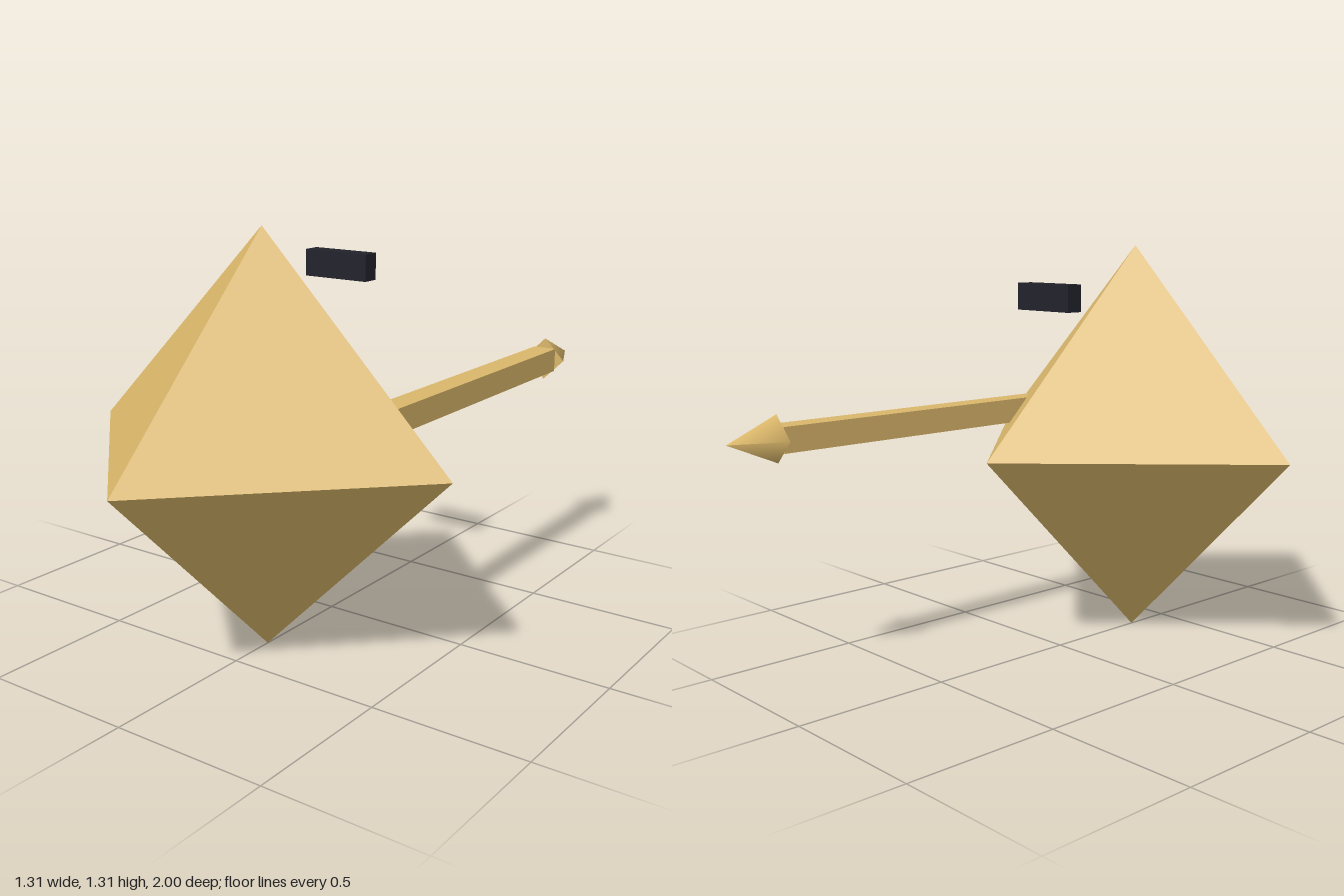
import * as THREE from 'three';

export function createModel() {
  const model = new THREE.Group();
  const gold = new THREE.MeshStandardMaterial({ color: 0xd9b66a });
  gold.name = 'gold';
  const black = new THREE.MeshStandardMaterial({ color: 0x22222c });
  black.name = 'black';

  function add(name, geometry, material, x, y, z) {
    const mesh = new THREE.Mesh(geometry, material);
    mesh.name = name;
    mesh.position.set(x, y, z);
    model.add(mesh);
    return mesh;
  }

  // Faceted body standing on its lower point
  add('body', new THREE.OctahedronGeometry(0.655), gold, 0, 0.655, 0.345);

  // Square rod running backwards out of the body's left side
  const rodFront = 0.25, rodBack = -0.832;
  add('rod', new THREE.BoxGeometry(0.08, 0.08, rodFront - rodBack), gold,
    0.34, 0.75, (rodFront + rodBack) / 2);

  // Four-sided point with smooth normals at the end of the rod
  const tip = add('rodTip', new THREE.ConeGeometry(0.074, 0.168, 4), gold, 0.34, 0.75, -0.916);
  tip.rotation.x = -Math.PI / 2;

  // Small dark bar floating behind the top
  add('bar', new THREE.BoxGeometry(0.23, 0.085, 0.056), black, 0, 1.152, -0.048);

  return model;
}
